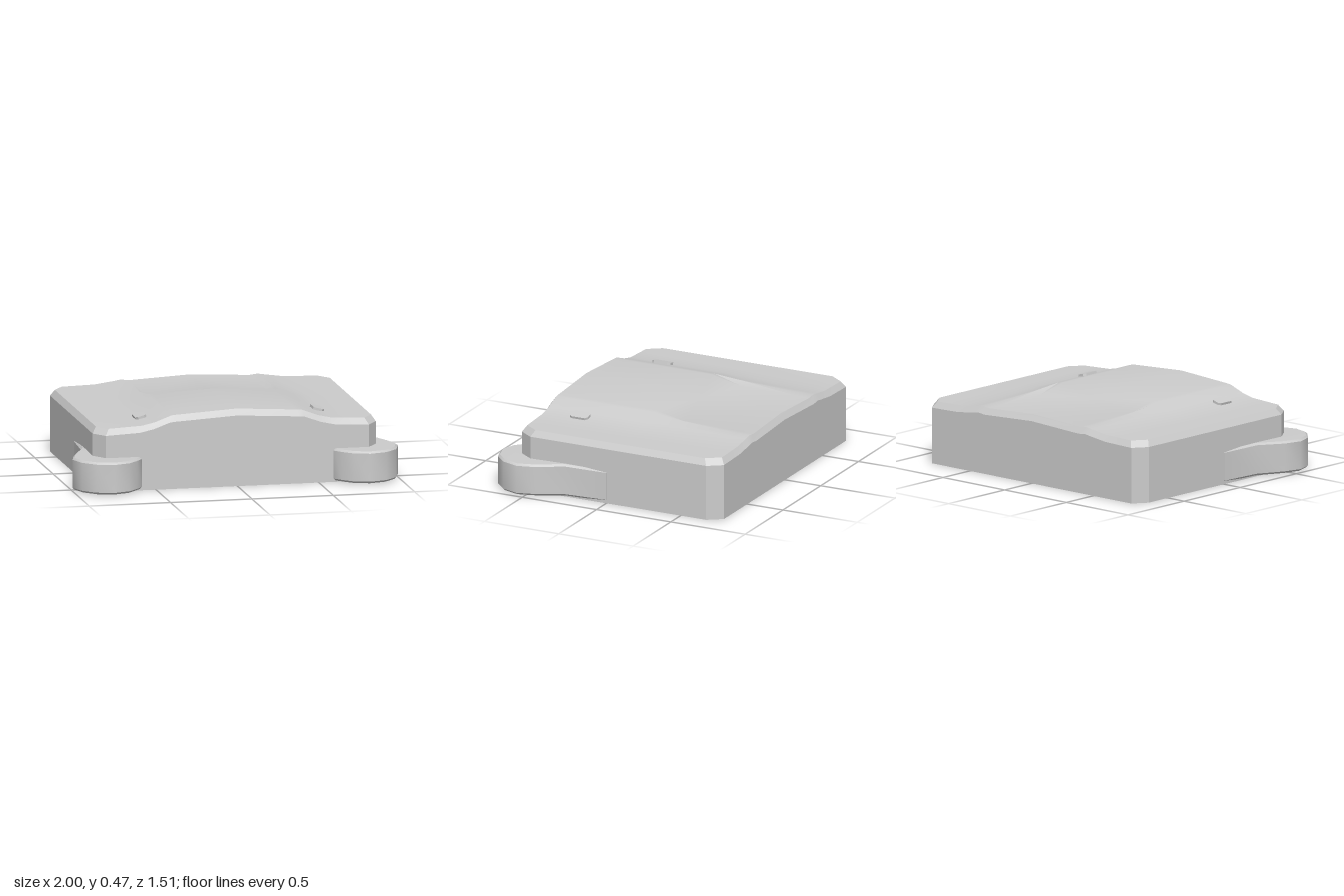
import * as THREE from 'three';
import { toCreasedNormals } from 'three/addons/utils/BufferGeometryUtils.js';

const material = new THREE.MeshStandardMaterial({ color: 0xcccccc });

function part(name, geometry) {
  const mesh = new THREE.Mesh(geometry, material);
  mesh.name = name;
  return mesh;
}

// Flat plate from a ground outline of [x, z] points, rising from y = 0.
function plate(outline, height, bevel) {
  const shape = new THREE.Shape(outline.map(([x, z]) => new THREE.Vector2(x, -z)));
  const geometry = new THREE.ExtrudeGeometry(shape, {
    depth: height - 2 * bevel, bevelEnabled: bevel > 0, bevelSegments: 1,
    bevelSize: bevel, bevelThickness: bevel, bevelOffset: -bevel,
  });
  return geometry.rotateX(-Math.PI / 2).translate(0, bevel, 0);
}

// Housing: mirrored cross-sections skinned over the top, then a chamfer, walls and floor.
function housing() {
  const ridge = [[0, 0.47], [0.37, 0.448], [0.4, 0.445], [0.5, 0.408], [0.58, 0.39], [0.7, 0.384]];
  const brow = [[0, 0.47], [0.37, 0.448], [0.4, 0.445], [0.49, 0.412], [0.58, 0.39], [0.7, 0.384]];
  const recess = [[0, 0.428], [0.37, 0.408], [0.41, 0.426], [0.47, 0.408], [0.58, 0.387], [0.7, 0.383]];
  const tail = [[0, 0.421], [0.37, 0.402], [0.42, 0.408], [0.47, 0.4], [0.58, 0.385], [0.7, 0.382]];
  // each row: profile, half width, z at the middle, z at the sides
  const rows = [
    [ridge, 0.785, 0.575, 0.575],
    [ridge, 0.845, 0.49, 0.49],
    [brow, 0.845, -0.05, -0.08],
    [recess, 0.845, -0.19, -0.27],
    [tail, 0.845, -0.65, -0.65],
    [tail, 0.785, -0.735, -0.735],
  ];
  const points = [], index = [];
  for (const [profile, width, zMid, zSide] of rows) {
    const half = [...profile, [width, 0.38]];
    const full = [...half.slice(1).reverse().map(([x, y]) => [-x, y]), ...half];
    for (const [x, y] of full) {
      const t = Math.min(Math.abs(x) / 0.37, 1);
      points.push([x, y, zMid + (zSide - zMid) * t]);
    }
  }
  const cols = 13, last = rows.length - 1;
  const quad = (a, b, c, d) => index.push(a, b, c, a, c, d);
  for (let r = 0; r < last; r++) {
    for (let c = 0; c < cols - 1; c++) {
      const a = r * cols + c, b = a + 1, d = a + cols, e = d + 1;
      // mirrored diagonals keep the two halves alike
      if (c < 6) index.push(a, b, e, a, e, d);
      else index.push(a, b, d, b, e, d);
    }
  }

  // rim of the top, walked front, right, back, left
  const rim = [];
  for (let c = 0; c < cols; c++) rim.push(c);
  for (let r = 1; r <= last; r++) rim.push(r * cols + cols - 1);
  for (let c = cols - 2; c >= 0; c--) rim.push(last * cols + c);
  for (let r = last - 1; r > 0; r--) rim.push(r * cols);

  const n = rim.length, upper = points.length, lower = upper + n;
  const outer = rim.map((i) => {
    const [x, y, z] = points[i];
    return [x * 0.87 / 0.845, y - 0.038, -0.08 + (z + 0.08) * 0.68 / 0.655];
  });
  points.push(...outer, ...outer.map(([x, , z]) => [x, 0, z]));
  const centre = points.push([0, 0, -0.08]) - 1;
  for (let i = 0; i < n; i++) {
    const j = (i + 1) % n;
    quad(upper + i, upper + j, rim[j], rim[i]);
    quad(lower + i, lower + j, upper + j, upper + i);
    index.push(centre, lower + j, lower + i);
  }

  const geometry = new THREE.BufferGeometry();
  geometry.setAttribute('position', new THREE.Float32BufferAttribute(points.flat(), 3));
  geometry.setIndex(index);
  return toCreasedNormals(geometry, 0.5);
}

export function createModel() {
  const model = new THREE.Group();
  model.add(part('housing', housing()));

  // Rounded front foot that tapers back along the side wall
  const footOutline = [
    [0.585, 0.56], [0.59, 0.61], [0.63, 0.66], [0.69, 0.72], [0.785, 0.75], [0.89, 0.72],
    [0.965, 0.645], [1, 0.54], [0.97, 0.43], [0.89, 0.27], [0.872, 0], [0.8, 0], [0.7, 0.45],
  ];
  // Small button with clipped corners
  const w = 0.034, l = 0.06, k = 0.015;
  const buttonOutline = [
    [-w, -l + k], [-w + k, -l], [w - k, -l], [w, -l + k],
    [w, l - k], [w - k, l], [-w + k, l], [-w, l - k],
  ];

  for (const [side, s] of [['left', 1], ['right', -1]]) {
    const foot = plate(footOutline.map(([x, z]) => [s * x, z]), 0.195, 0.012);
    const p = foot.attributes.position;
    for (let i = 0; i < p.count; i++) {
      // top swells slightly before it runs out at the rear
      if (p.getY(i) > 0.1 && p.getZ(i) > 0.2 && p.getZ(i) < 0.35) p.setY(i, p.getY(i) + 0.004);
    }
    const footMesh = part(`${side}Foot`, toCreasedNormals(foot, 0.65));
    footMesh.position.y = 0.01;
    model.add(footMesh);

    const button = part(`${side}Button`, plate(buttonOutline, 0.03, 0));
    button.position.set(s * 0.541, 0.383, 0.34);
    button.rotation.z = -s * 0.24;
    model.add(button);
  }
  return model;
}
